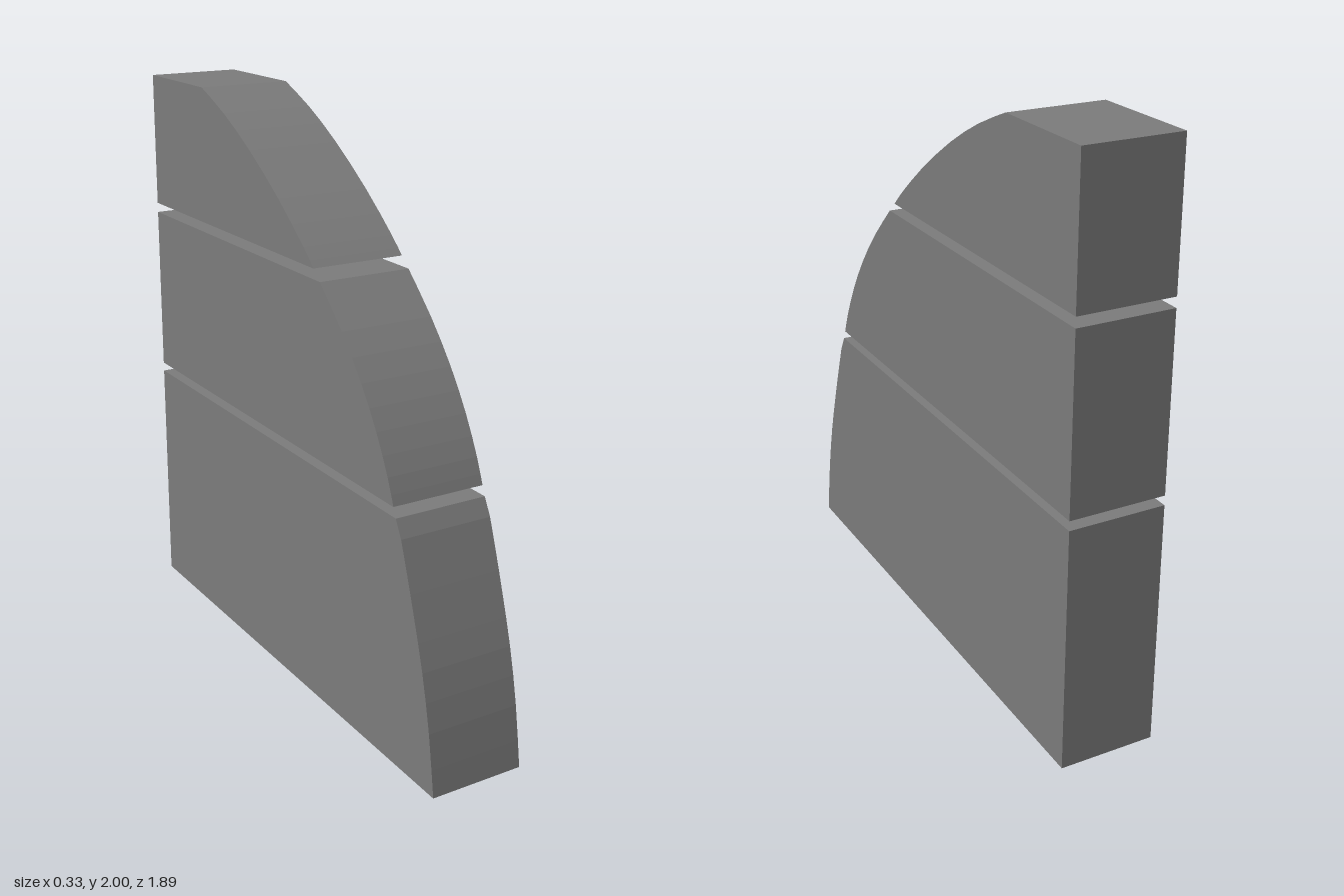
import * as THREE from 'three';

const BACK = -0.945;
const WIDTH = 0.334;

// Curved front edge of each slab as [z, y], from bottom to top; tip is a straight chamfer
const SLABS = [
  { name: 'lowerSlab', edge: [[0.947, 0], [0.915, 0.21], [0.872, 0.4], [0.82, 0.57], [0.78, 0.69], [0.743, 0.795]], tip: [0.712, 0.853] },
  { name: 'middleSlab', edge: [[0.698, 0.886], [0.664, 0.97], [0.598, 1.095], [0.51, 1.225], [0.395, 1.36], [0.262, 1.488]] },
  { name: 'upperSlab', edge: [[0.222, 1.523], [0.16, 1.58], [0, 1.705], [-0.195, 1.834], [-0.375, 1.931], [-0.54, 2]] },
];

// Flat-sided slab: straight back, flat top and bottom, curved front
function makeSlab({ name, edge, tip }, material) {
  const curve = new THREE.SplineCurve(edge.map(([z, y]) => new THREE.Vector2(z, y)));
  const outline = curve.getPoints(10);
  if (tip) outline.push(new THREE.Vector2(...tip));
  const top = outline[outline.length - 1].y;
  outline.push(new THREE.Vector2(BACK, top), new THREE.Vector2(BACK, outline[0].y));

  const geometry = new THREE.ExtrudeGeometry(new THREE.Shape(outline), { depth: WIDTH, bevelEnabled: false });
  geometry.translate(0, 0, -WIDTH / 2);
  geometry.rotateY(-Math.PI / 2); // profile now lies in the z-y plane
  const mesh = new THREE.Mesh(geometry, material);
  mesh.name = name;
  return mesh;
}

export function createModel() {
  const group = new THREE.Group();
  group.name = 'slicedFin';
  const material = new THREE.MeshStandardMaterial({ color: 0x7c7c7c });
  for (const slab of SLABS) group.add(makeSlab(slab, material));
  return group;
}
